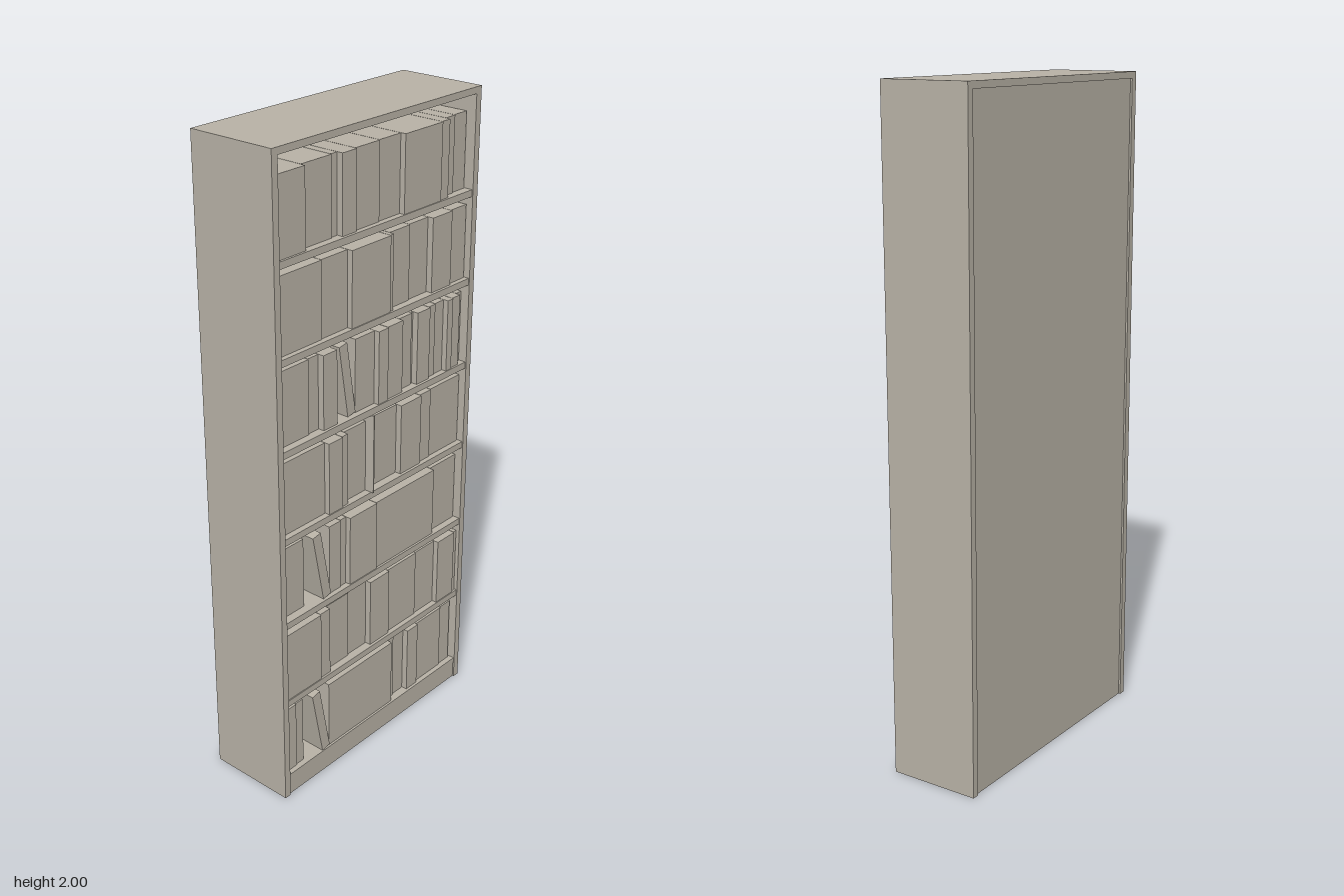
import * as THREE from 'three';

export function createModel() {
  const group = new THREE.Group();
  const stone = new THREE.MeshStandardMaterial({ color: 0xb8b2a6 });
  stone.name = 'warm grey';

  // Box given by its lower and upper bounds on each axis
  function box(name, x0, x1, y0, y1, z0, z1, parent = group) {
    const mesh = new THREE.Mesh(new THREE.BoxGeometry(x1 - x0, y1 - y0, z1 - z0), stone);
    mesh.position.set((x0 + x1) / 2, (y0 + y1) / 2, (z0 + z1) / 2);
    mesh.name = name;
    parent.add(mesh);
    return mesh;
  }

  // Case
  const W = 0.425, T = 0.022, BACK = -0.143, FRONT = 0.14;
  const inner = W - T;
  box('topBoard', -W, W, 1.98, 2, BACK, FRONT);
  for (const s of [-1, 1]) {
    const x = s * (W - T / 2);
    box(s > 0 ? 'leftSide' : 'rightSide', x - T / 2, x + T / 2, 0, 1.98, BACK, FRONT);
  }
  box('backPanel', -inner, inner, 0, 1.98, -0.137, -0.127);
  box('plinth', -inner, inner, 0, 0.053, 0.115, 0.135);

  // Shelves, from the bottom up
  const shelfTops = [0.074, 0.345, 0.615, 0.891, 1.162, 1.432, 1.703];
  shelfTops.forEach((y) => box('shelf', -inner, inner, y - 0.021, y, -0.127, 0.137));

  // Book edges along x for each shelf; a leaning book fills the gap after edge "lean"
  const rows = [
    { edges: [-0.405, -0.39, -0.352, -0.32, -0.218, 0.082, 0.109, 0.162, 0.215, 0.342, 0.395], lean: 3, tilt: 0.19 },
    { edges: [-0.405, -0.252, -0.209, -0.109, -0.024, 0.066, 0.204, 0.299, 0.384, 0.4] },
    { edges: [-0.405, -0.299, -0.202, -0.151, -0.125, -0.003, 0.273, 0.4], lean: 1, tilt: 0.19 },
    { edges: [-0.405, -0.215, -0.156, -0.13, -0.034, 0.109, 0.204, 0.257, 0.4] },
    { edges: [-0.405, -0.273, -0.23, -0.172, -0.087, -0.003, 0.04, 0.109, 0.167, 0.177, 0.236, 0.268, 0.31, 0.336, 0.374, 0.4], lean: 3, tilt: 0.16 },
    { edges: [-0.405, -0.225, -0.119, 0.045, 0.061, 0.151, 0.236, 0.326, 0.4] },
    { edges: [-0.405, -0.294, -0.177, -0.151, -0.093, 0.008, 0.098, 0.262, 0.299, 0.342, 0.4] },
  ];
  const H = 0.225, setBacks = [0.012, 0.026, 0.006, 0.019, 0.03, 0.01, 0.022];

  rows.forEach(({ edges, lean, tilt }, r) => {
    const row = new THREE.Group();
    row.name = 'bookRow' + (r + 1);
    group.add(row);
    const y = shelfTops[r];
    for (let i = 0; i < edges.length - 1; i++) {
      const front = FRONT - setBacks[(i * 3 + r * 2) % setBacks.length];
      const a = edges[i], b = edges[i + 1];
      if (i === lean) {
        // Book tipped against its neighbour
        const w = 0.033, h = 0.226;
        const right = b - 0.001;
        const book = box('leaningBook', 0, w, 0, h, -0.09, front, row);
        const hw = (w * Math.cos(tilt) + h * Math.sin(tilt)) / 2;
        const hh = (w * Math.sin(tilt) + h * Math.cos(tilt)) / 2;
        book.position.x = right - hw;
        book.position.y = y + hh;
        book.rotation.z = tilt;
      } else {
        box('book', a + 0.0008, b - 0.0008, y, y + H, -0.1, front, row);
      }
    }
  });

  // Thin tall divider standing slightly proud of the middle shelf
  box('thinBook', -0.035, -0.031, 0.891, 1.14, -0.1, 0.145);

  return group;
}
